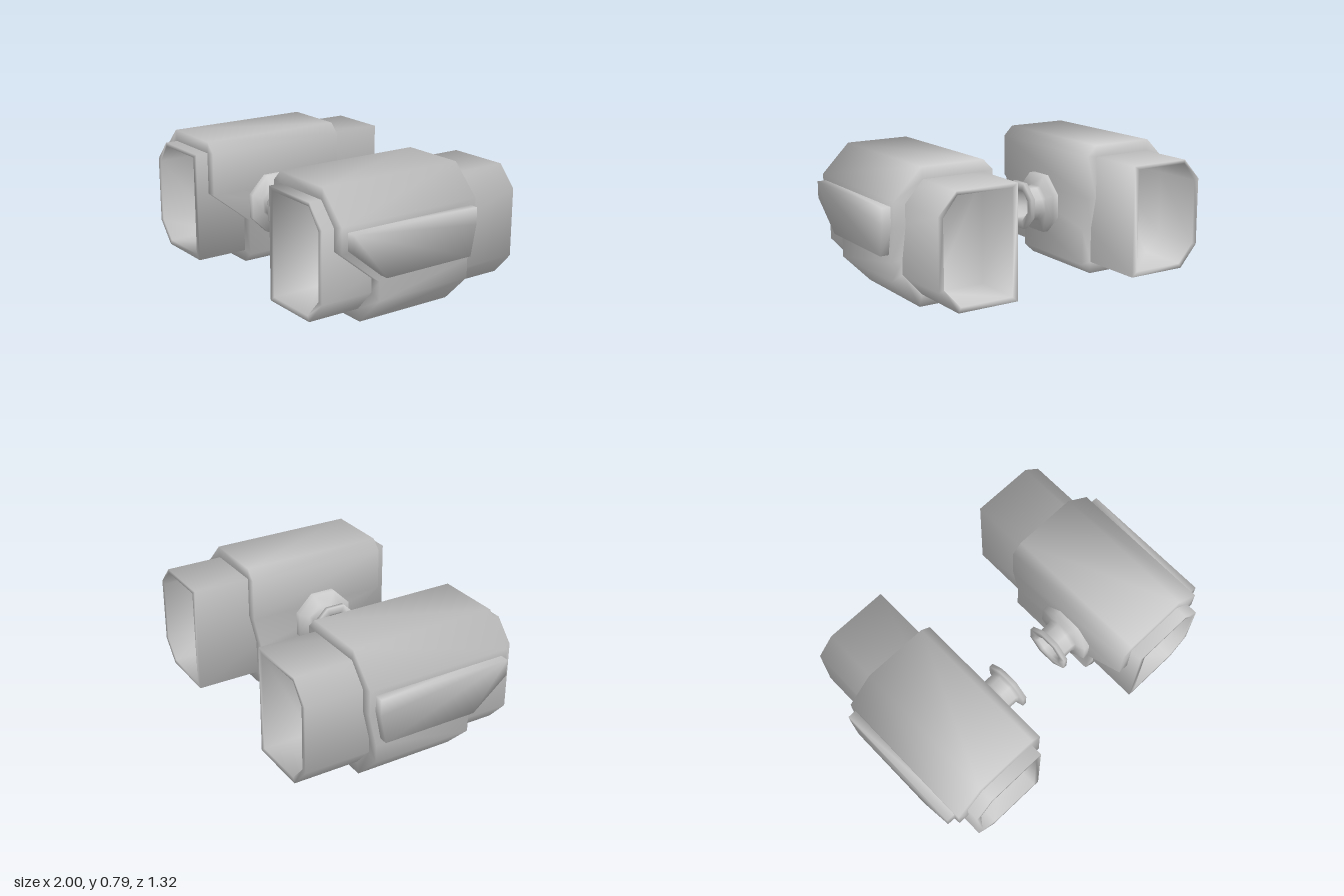
import * as THREE from 'three';
import { mergeVertices } from 'three/addons/utils/BufferGeometryUtils.js';

// Soft normals: every face around a corner counts equally, whatever its size.
function softenNormals(geometry) {
  const position = geometry.attributes.position, index = geometry.index.array;
  const sums = Array.from({ length: position.count }, () => new THREE.Vector3());
  const face = new THREE.Triangle(), normal = new THREE.Vector3();
  for (let i = 0; i < index.length; i += 3) {
    face.setFromAttributeAndIndices(position, index[i], index[i + 1], index[i + 2]);
    if (face.getArea() < 1e-7) continue;
    face.getNormal(normal);
    for (let k = 0; k < 3; k++) sums[index[i + k]].add(normal);
  }
  const normals = sums.flatMap((v) => v.normalize().toArray());
  geometry.setAttribute('normal', new THREE.Float32BufferAttribute(normals, 3));
}

// Skin a chain of closed rings with equal point counts.
function loft(rings, mirrored) {
  const n = rings[0].length;
  const positions = [], index = [];
  for (const ring of rings) {
    for (const [x, y, z] of ring) positions.push(mirrored ? -x : x, y, z);
  }
  const tri = (a, b, c) => (mirrored ? index.push(a, c, b) : index.push(a, b, c));
  for (let r = 0; r < rings.length - 1; r++) {
    for (let i = 0; i < n; i++) {
      const a = r * n + i, b = r * n + (i + 1) % n;
      tri(a, b, a + n);
      tri(b, b + n, a + n);
    }
  }
  let geometry = new THREE.BufferGeometry();
  geometry.setAttribute('position', new THREE.Float32BufferAttribute(positions, 3));
  geometry.setIndex(index);
  geometry = mergeVertices(geometry, 1e-4);
  softenNormals(geometry);
  return geometry;
}

// Rings across z from an [x, y] outline; z may depend on height.
const ringZ = (outline, z) => outline.map(([x, y]) => [x, y, typeof z === 'function' ? z(y) : z]);
// Rings across x from a [z, y] outline.
const ringX = (outline, x) => outline.map(([z, y]) => [x, y, z]);

// Straight duct with a recess at both ends, chamfered on the outboard side
function ductRings() {
  const outer = [[0.395, 0.722], [0.77, 0.722], [0.88, 0.6], [0.88, 0.2], [0.765, 0.07], [0.395, 0.07]];
  const inner = [[0.43, 0.7], [0.765, 0.7], [0.85, 0.59], [0.85, 0.21], [0.75, 0.1], [0.43, 0.1]];
  const corner = inner.map(() => inner[0]);
  const floor = 0.36, end = 0.66;
  return [
    ringZ(corner, floor), ringZ(inner, floor), ringZ(inner, end),
    ringZ(outer, end), ringZ(outer, -end),
    ringZ(inner, -end), ringZ(inner, -floor), ringZ(corner, -floor),
  ];
}

// Octagonal housing around the duct, its ends stepping inward below mid height
function housingRings() {
  const outer = [
    [0.33, 0.73], [0.39, 0.79], [0.78, 0.79], [0.948, 0.62], [0.948, 0.475], [0.948, 0.28],
    [0.948, 0.17], [0.78, 0], [0.39, 0], [0.33, 0.06], [0.33, 0.28], [0.33, 0.475],
  ];
  const inner = [
    [0.395, 0.722], [0.395, 0.722], [0.77, 0.722], [0.88, 0.6], [0.88, 0.475], [0.88, 0.28],
    [0.88, 0.2], [0.765, 0.07], [0.395, 0.07], [0.395, 0.07], [0.395, 0.28], [0.395, 0.475],
  ];
  const slope = (y) => THREE.MathUtils.clamp((y - 0.28) / 0.195, 0, 1);
  const front = (y) => THREE.MathUtils.lerp(0.343, 0.585, slope(y));
  const back = (y) => THREE.MathUtils.lerp(-0.266, -0.31, slope(y));
  return [ringZ(inner, front), ringZ(outer, front), ringZ(outer, back), ringZ(inner, back)];
}

// Raised plate on the outboard face
function sidePlateRings() {
  const outline = [[0.548, 0.587], [-0.275, 0.587], [-0.275, 0.49], [-0.24, 0.315], [0.335, 0.315], [0.548, 0.49]];
  const corner = outline.map(() => outline[0]);
  return [ringX(corner, 1), ringX(outline, 1), ringX(outline, 0.93)];
}

// Eight-sided flanged coupling on the inboard face, with a bore
function couplingRings() {
  const profile = [
    [0.178, 0.34], [0.178, 0.293], [0.108, 0.287], [0.1, 0.265], [0.1, 0.2], [0.108, 0.184],
    [0.143, 0.182], [0.143, 0.157], [0.1, 0.157], [0.085, 0.17], [0.085, 0.27], [0, 0.27],
  ];
  return profile.map(([apothem, x]) => {
    const radius = apothem / Math.cos(Math.PI / 8);
    const ring = [];
    for (let i = 0; i < 8; i++) {
      const t = (i + 0.5) * Math.PI / 4;
      ring.push([x, 0.372 - radius * Math.sin(t), 0.163 - radius * Math.cos(t)]);
    }
    return ring;
  });
}

export function createModel() {
  const material = new THREE.MeshStandardMaterial({ color: 0xcccccc });
  const parts = {
    duct: ductRings(),
    housing: housingRings(),
    sidePlate: sidePlateRings(),
    coupling: couplingRings(),
  };
  const model = new THREE.Group();
  model.name = 'twinPods';
  // Left pod and its mirrored partner
  for (const mirrored of [false, true]) {
    const pod = new THREE.Group();
    pod.name = mirrored ? 'rightPod' : 'leftPod';
    for (const [name, rings] of Object.entries(parts)) {
      const mesh = new THREE.Mesh(loft(rings, mirrored), material);
      mesh.name = name;
      pod.add(mesh);
    }
    model.add(pod);
  }
  return model;
}
